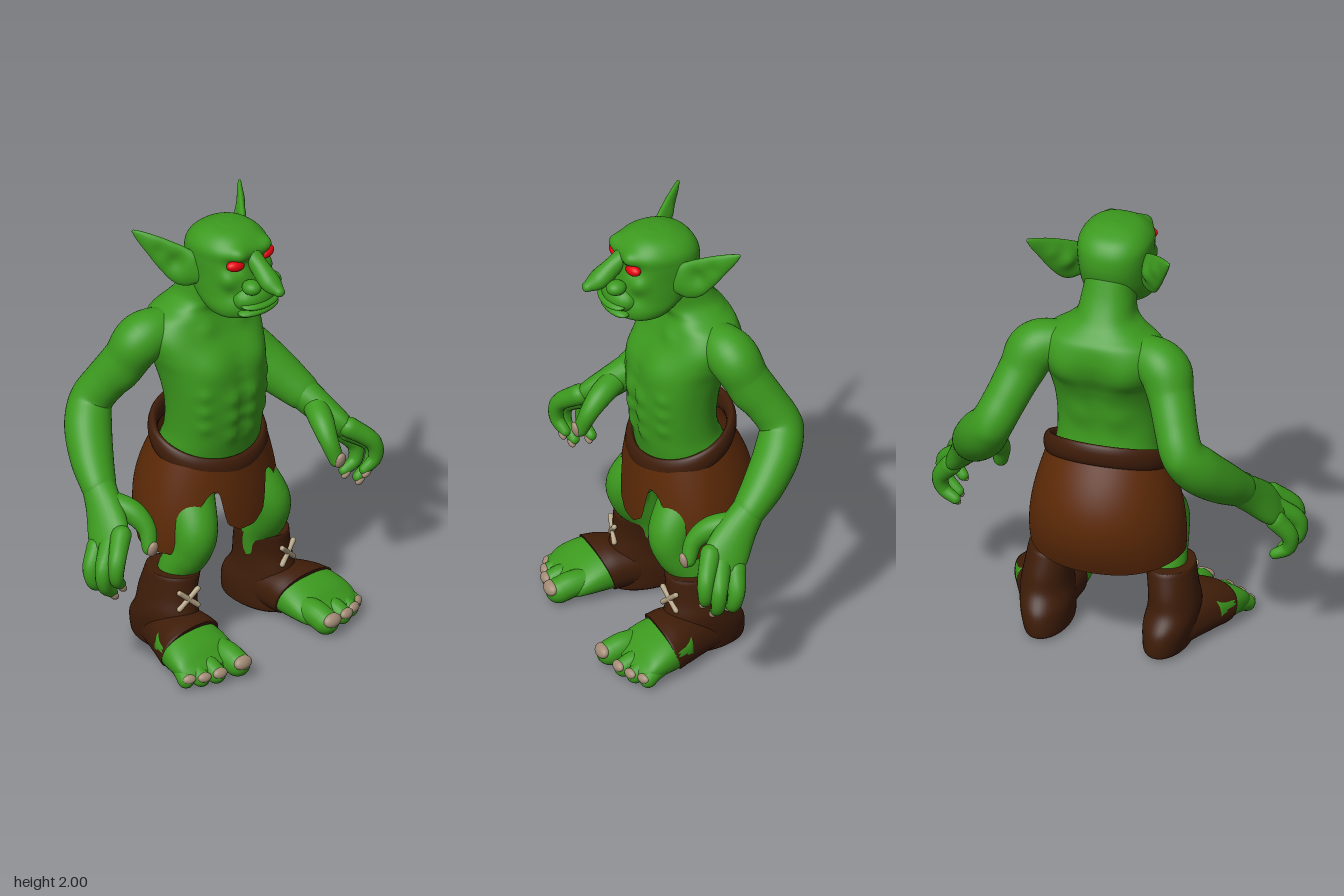
import * as THREE from 'three';

const flat = (name, color) => {
  const m = new THREE.MeshStandardMaterial({ color });
  m.name = name;
  return m;
};
const V = (x, y, z) => new THREE.Vector3(x, y, z);

// Closed grid of rings -> smooth geometry
function skin(rings) {
  const n = rings[0].length, pos = [], idx = [];
  rings.forEach(r => r.forEach(p => pos.push(p.x, p.y, p.z)));
  for (let i = 0; i < rings.length - 1; i++) for (let j = 0; j < n; j++) {
    const a = i * n + j, b = i * n + (j + 1) % n;
    idx.push(a, b, a + n, b, b + n, a + n);
  }
  const g = new THREE.BufferGeometry();
  g.setAttribute('position', new THREE.Float32BufferAttribute(pos, 3));
  g.setIndex(idx);
  g.computeVertexNormals();
  return g;
}

// Loft through rows [x, y, z, radiusA, radiusB].
// plane 'y' / 'z': sections stay level; otherwise they follow the path and get round ends.
function loft(rows, { plane, ref = V(0, 0, 1), sides = 24, steps = 6, power = 2 } = {}) {
  const path = new THREE.CatmullRomCurve3(rows.map(r => V(r[0], r[1], r[2])), false, 'catmullrom');
  const size = new THREE.CatmullRomCurve3(rows.map(r => V(r[3], r[4] ?? r[3], 0)), false, 'catmullrom');
  const ring = (c, t, a, b) => {
    let u = V(1, 0, 0), v = plane === 'y' ? V(0, 0, -1) : V(0, 1, 0);
    if (!plane) {
      u = ref.clone().cross(t).normalize();
      v = t.clone().cross(u);
    }
    return Array.from({ length: sides }, (_, j) => {
      const w = j / sides * Math.PI * 2, cs = Math.cos(w), sn = Math.sin(w);
      const soft = q => Math.sign(q) * Math.abs(q) ** (2 / power);
      return c.clone().addScaledVector(u, a * soft(cs)).addScaledVector(v, b * soft(sn));
    });
  };
  const rings = [], n = (rows.length - 1) * steps;
  const cap = (k, s) => {
    const c = path.getPoint(k), t = path.getTangent(k), r = size.getPoint(k);
    for (let i = 0; i <= 5; i++) {
      const f = (s < 0 ? 5 - i : i) / 5 * Math.PI / 2;
      const q = plane ? c : c.clone().addScaledVector(t, s * Math.min(r.x, r.y) * Math.sin(f));
      rings.push(ring(q, t, r.x * Math.cos(f), r.y * Math.cos(f)));
    }
  };
  cap(0, -1);
  for (let i = 1; i < n; i++) {
    const r = size.getPoint(i / n);
    rings.push(ring(path.getPoint(i / n), path.getTangent(i / n), Math.max(r.x, 0.002), Math.max(r.y, 0.002)));
  }
  cap(1, 1);
  return skin(rings);
}

// Sculpt with soft bumps [x, y, z, radius, amount], along the normal or a given direction
function sculpt(g, bumps, dir) {
  const p = g.attributes.position, nor = g.attributes.normal;
  for (let i = 0; i < p.count; i++) {
    const at = V().fromBufferAttribute(p, i), n = dir ?? V().fromBufferAttribute(nor, i);
    let d = 0;
    for (const [x, y, z, r, k] of bumps) d += k * Math.exp(-at.distanceToSquared(V(x, y, z)) / (r * r));
    at.addScaledVector(n, d);
    p.setXYZ(i, at.x, at.y, at.z);
  }
  g.computeVertexNormals();
  return g;
}
const both = list => list.flatMap(([x, ...r]) => [[x, ...r], [-x, ...r]]);

function mirrored(g) {
  const m = g.clone().scale(-1, 1, 1), ix = m.index.array;
  for (let i = 0; i < ix.length; i += 3) [ix[i], ix[i + 1]] = [ix[i + 1], ix[i]];
  return m;
}

function ball(p, r, rot = [0, 0, 0]) {
  return new THREE.SphereGeometry(1, 24, 16).scale(...r)
    .rotateX(rot[0]).rotateY(rot[1]).rotateZ(rot[2]).translate(...p);
}

// Rows [y, halfWidth, front, back] -> level loft rows
const level = rows => rows.map(([y, w, f, b]) => [0, y, (f + b) / 2, w, (f - b) / 2]);

export function createModel() {
  const green = flat('green skin', 0x3c9a1e), red = flat('red eyes', 0xec0410);
  const leather = flat('brown leather', 0x5d2a07), dark = flat('dark leather', 0x3f1d09);
  const nail = flat('nails', 0xa28b76), cord = flat('cord', 0xb3a284);
  leather.side = THREE.DoubleSide;
  const model = new THREE.Group();
  const add = (name, g, mat) => {
    const m = new THREE.Mesh(g, mat);
    m.name = name;
    model.add(m);
  };
  const pair = (name, g, mat) => {
    add('left ' + name, g, mat);
    add('right ' + name, mirrored(g), mat);
  };

  // Torso and neck
  const torso = loft(level([
    [0.70, .17, .06, -.22], [0.80, .225, .10, -.26], [0.92, .235, .125, -.24], [1.0, .23, .138, -.21],
    [1.1, .233, .148, -.20], [1.2, .242, .15, -.215], [1.3, .258, .133, -.25], [1.38, .28, .1, -.28],
    [1.46, .29, .055, -.295], [1.53, .25, .025, -.285], [1.575, .18, .02, -.25], [1.62, .13, .045, -.215],
    [1.7, .115, .07, -.17], [1.8, .10, .06, -.13]]), { plane: 'y', sides: 72, steps: 8, power: 2.3 });
  const muscles = both([[.12, 1.34, .12, .085, .02], [.14, 1.4, -.27, .08, .022], [.08, 1.15, -.2, .06, .012],
    ...[1.0, 1.09, 1.18].map(y => [.052, y, .15, .038, .014]),
    ...[1.06, 1.14, 1.22].map(y => [.18, y, .1, .03, .01]), [.1, 1.5, .04, .04, .012]]);
  for (let y = 1; y < 1.5; y += .06) muscles.push([0, y, .15, .03, -.008], [0, y, -.24, .04, -.014]);
  add('torso', sculpt(torso, muscles), green);

  // Head
  const head = loft(level([
    [1.605, .08, .20, .03], [1.62, .13, .235, .01], [1.66, .152, .25, -.04], [1.72, .155, .243, -.10],
    [1.8, .157, .232, -.135], [1.87, .16, .222, -.14], [1.92, .158, .222, -.125], [1.96, .132, .19, -.09],
    [1.987, .09, .145, -.03], [1.998, .03, .09, .02]]), { plane: 'y', sides: 72, steps: 8, power: 2.3 });
  add('head', sculpt(head, both([[.085, 1.917, .215, .04, .028], [.095, 1.865, .2, .035, -.02],
    [.12, 1.8, .18, .04, .018], [.125, 1.735, .2, .03, -.01], [.03, 1.63, .24, .04, .008]])), green);
  add('nose', loft([[0, 1.9, .2, .04, .03], [0, 1.85, .25, .04, .042],
    [0, 1.8, .318, .047, .042], [0, 1.776, .372, .025, .022]]), green);
  pair('nostril', ball([.06, 1.778, .262], [.04, .033, .045]), green);
  add('muzzle', ball([0, 1.705, .215], [.112, .07, .075]), green);
  add('upper lip', ball([0, 1.69, .25], [.105, .022, .056], [.15, 0, 0]), green);
  add('lower lip', ball([0, 1.652, .24], [.112, .024, .052]), green);
  pair('eye', ball([.094, 1.87, .197], [.043, .025, .026], [0, .22, .15]), red);

  // Ears, cupped towards the front
  const ear = loft([[.13, 1.78, .02, .05, .03], [.17, 1.80, -.02, .085, .03], [.21, 1.845, -.07, .077, .026],
    [.26, 1.905, -.13, .05, .02], [.3, 1.95, -.18, .024, .012], [.318, 1.97, -.2, .008, .007]],
    { ref: V(.74, 0, .67), sides: 40 });
  pair('ear', sculpt(ear, [[.2, 1.835, -.06, .042, .035], [.245, 1.885, -.11, .033, .015]], V(-.74, 0, -.67)), green);

  // Arms
  const arm = loft([[.14, 1.475, -.14, .085], [.28, 1.445, -.18, .112], [.338, 1.34, -.23, .1],
    [.385, 1.23, -.298, .094], [.43, 1.13, -.345, .095], [.487, 1.04, -.305, .108, .1], [.553, .945, -.215, .1, .092],
    [.605, .865, -.12, .082, .075]], { sides: 36, steps: 8 });
  pair('arm', sculpt(arm, [[.36, 1.43, -.17, .07, .01], [.36, 1.26, -.19, .06, .012], [.43, 1.11, -.44, .04, .008]]), green);
  pair('palm', loft([[.6, .875, -.13, .076, .07], [.64, .805, -.05, .066, .085],
    [.685, .735, .02, .055, .1], [.715, .695, .055, .042, .092]]), green);

  // Fingers and thumb: base, two joints, tip
  const fingers = [
    [[.685, .74, .1], [.765, .665, .158], [.775, .585, .165], [.73, .535, .145]],
    [[.71, .70, .06], [.798, .625, .11], [.798, .54, .115], [.735, .48, .1]],
    [[.735, .665, .005], [.79, .59, .025], [.782, .52, .035], [.725, .485, .025]]];
  fingers.forEach((f, i) => {
    pair('finger ' + (i + 1), loft(f.map((p, k) => [...p, [.046, .038, .031, .024][k]]), { sides: 16 }), green);
    const [x, y, z] = f[3];
    pair('fingernail ' + (i + 1), ball([x + .002, y - .01, z + .011], [.028, .017, .018], [0, 0, .7]), nail);
  });
  pair('thumb', loft([[.615, .82, -.04, .055], [.57, .79, .05, .052], [.548, .73, .115, .041], [.56, .65, .148, .033]]), green);
  pair('thumbnail', ball([.562, .652, .17], [.027, .038, .018], [.25, 0, 0]), nail);

  // Legs
  pair('leg', loft([[.13, .85, -.08, .12], [.17, .7, -.02, .118], [.215, .575, .075, .098], [.23, .48, .065, .088],
    [.245, .38, 0, .086], [.262, .25, -.02, .08]], { sides: 36 }), green);

  // Boots: shaft with heel, and a part over the instep
  pair('boot shaft', loft([[.27, .008, -.05, .085, .165], [.27, .03, -.05, .1, .188], [.278, .12, -.048, .112, .186],
    [.288, .2, -.025, .112, .16], [.282, .28, -.025, .106, .145], [.265, .385, -.01, .106, .13]],
    { plane: 'y', sides: 40 }), dark);
  pair('boot instep', loft([[.28, .1, -.1, .09, .088], [.3, .11, 0, .122, .1], [.325, .112, .1, .148, .106],
    [.34, .104, .17, .165, .102]], { plane: 'z', sides: 40, power: 2.3 })
    .applyMatrix4(new THREE.Matrix4().makeShear(0, 0, 0, .35, 0, 0)).translate(0, 0, -.038), dark);
  for (const s of [-1, 1]) pair(s < 0 ? 'lace falling' : 'lace rising',
    new THREE.CapsuleGeometry(.012, .12, 6, 12).rotateZ(s * .85).rotateY(.25).translate(.297, .285, .118), cord);

  // Feet and toes
  pair('foot', loft([[.33, .102, .08, .135, .096], [.347, .098, .18, .16, .092], [.357, .08, .27, .166, .072],
    [.36, .06, .32, .15, .05], [.36, .05, .355, .11, .03]], { plane: 'z', sides: 40, power: 2.3 }), green);
  [[.262, .27, .265, .385, .057], [.37, .28, .376, .368, .043], [.428, .27, .444, .345, .039], [.475, .25, .5, .31, .037]]
    .forEach(([x0, z0, x1, z1, r], i) => {
      pair('toe ' + (i + 1), loft([[x0, r + .025, z0, r], [(x0 + x1) / 2, r + .022, (z0 + z1) / 2, r * 1.02], [x1, r + .006, z1, r]],
        { ref: V(0, 1, 0), sides: 20 }), green);
      pair('toenail ' + (i + 1), ball([x1 + .003, r * 1.35 + .006, z1 + r * .66], [r * .82, r * .55, r * .44], [-.6, i * .12, 0]), nail);
    });

  // Belt: rolled band, low in front and high behind
  const waist = t => .925 - .083 * Math.cos(t);
  const turn = (n, f) => Array.from({ length: n }, (_, j) => f(j / n * Math.PI * 2));
  const band = Array.from({ length: 97 }, (_, i) => {
    const t = i / 96 * Math.PI * 2;
    return turn(16, w => {
      const o = .022 * Math.cos(w);
      return V((.26 + o) * Math.sin(t), waist(t) + .052 * Math.sin(w), -.07 + (.208 + o) * Math.cos(t));
    }).reverse();
  });
  add('belt', skin(band), dark);

  // Skirt: front flap, openings for the thighs, long back
  const step = THREE.MathUtils.smoothstep;
  const hem = a => .55 + .035 * step(a, .1, .3) + .175 * step(a, .28, .48) - .285 * step(a, .52, 1.2) - .033 * step(a, 1.6, 2.8);
  const cloth = Array.from({ length: 25 }, (_, i) => turn(160, t => {
    const y = THREE.MathUtils.lerp(waist(t), hem(Math.min(t, Math.PI * 2 - t)), i / 24);
    const k = (.95 - y) / .5, c = Math.cos(t);
    const depth = c > 0 ? .205 + .03 * Math.sin(k * 2) : .222 + .1 * Math.sin(k * 2.75);
    return V((.258 + .088 * Math.sin(k * 1.9)) * Math.sin(t), y, -.06 + depth * c);
  }));
  add('skirt', skin(cloth.map(r => r.reverse()).reverse()), leather);
  return model;
}
